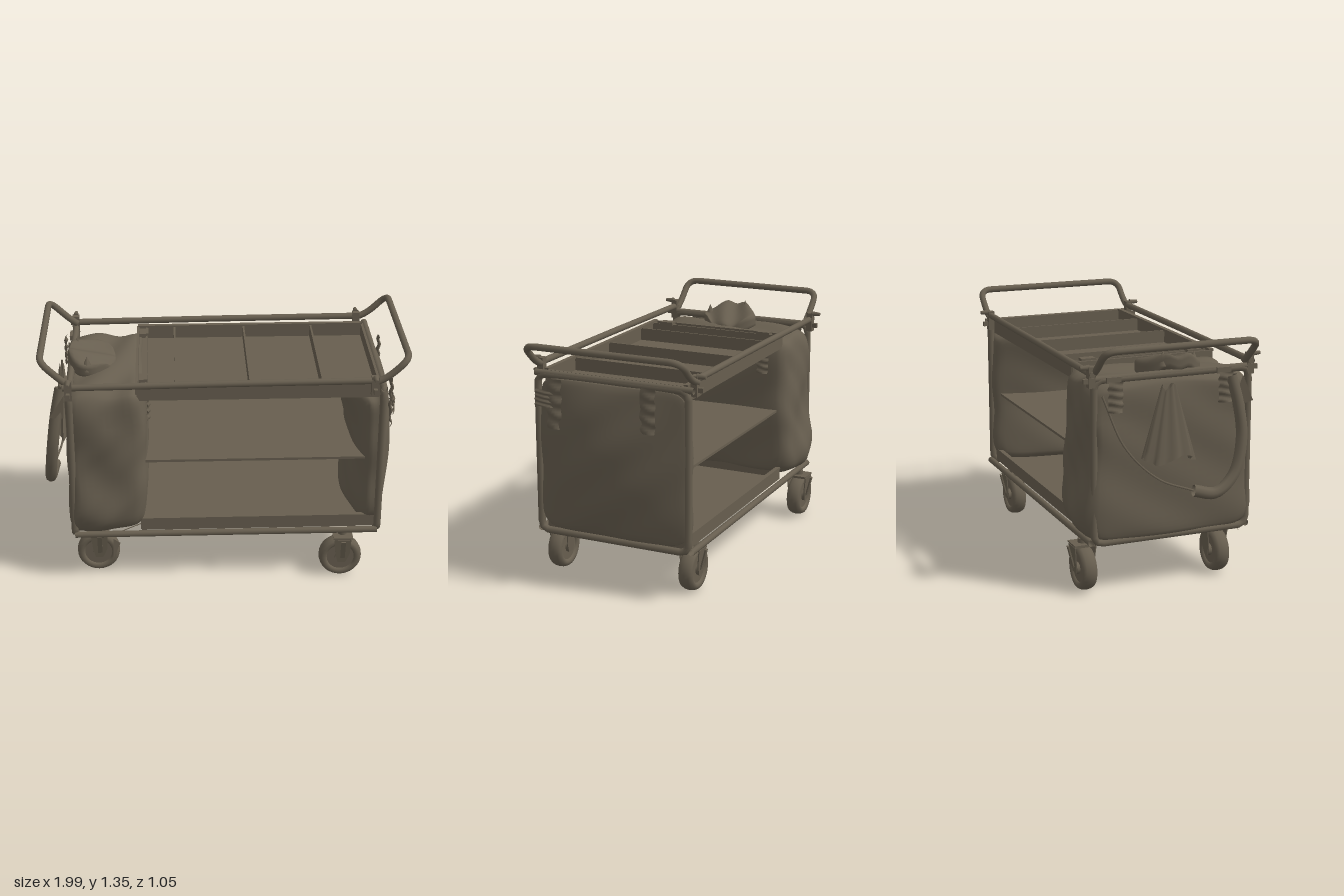
import * as THREE from 'three';
import { mergeVertices } from 'three/addons/utils/BufferGeometryUtils.js';

const olive = new THREE.MeshStandardMaterial({ color: 0x675e4f, side: THREE.DoubleSide });
olive.name = 'olive grey';

const V = (x, y, z) => new THREE.Vector3(x, y, z);

export function createModel() {
  const cart = new THREE.Group();
  cart.name = 'serviceCart';

  const add = (name, geo, x = 0, y = 0, z = 0, parent = cart) => {
    const m = new THREE.Mesh(geo, olive);
    m.name = name;
    m.position.set(x, y, z);
    parent.add(m);
    return m;
  };
  const box = (name, w, h, d, x, y, z, parent) => add(name, new THREE.BoxGeometry(w, h, d), x, y, z, parent);

  // Bent pipe: straight runs joined by small rounded corners
  const pipe = (name, pts, r = 0.018, closed = false, bend = 0.05) => {
    const path = new THREE.CurvePath();
    const n = pts.length;
    const corner = i => {
      const p = pts[i], a = pts[(i + n - 1) % n], b = pts[(i + 1) % n];
      const toward = q => p.clone().add(q.clone().sub(p).setLength(Math.min(bend, p.distanceTo(q) * 0.45)));
      return { p, a: toward(a), b: toward(b) };
    };
    let from = closed ? corner(0).b : pts[0];
    for (let i = 1; i < (closed ? n + 1 : n - 1); i++) {
      const c = corner(i % n);
      path.add(new THREE.LineCurve3(from, c.a));
      path.add(new THREE.QuadraticBezierCurve3(c.a, c.p, c.b));
      from = c.b;
    }
    if (!closed) path.add(new THREE.LineCurve3(from, pts[n - 1]));
    return add(name, new THREE.TubeGeometry(path, n * 26, r, 10, closed));
  };

  // Smooth lump made from a box; the rule maps unit coordinates (-1..1) to a position
  const softBox = (name, rule, seg = [12, 26, 20]) => {
    let g = new THREE.BoxGeometry(2, 2, 2, ...seg);
    g.deleteAttribute('uv');
    g.deleteAttribute('normal');
    g = mergeVertices(g);
    const p = g.attributes.position;
    for (let i = 0; i < p.count; i++) {
      const v = V(p.getX(i), p.getY(i), p.getZ(i));
      const k = (Math.abs(v.x) ** 10 + Math.abs(v.y) ** 10 + Math.abs(v.z) ** 10) ** 0.1;
      const m = Math.max(Math.abs(v.x), Math.abs(v.y), Math.abs(v.z));
      v.multiplyScalar(m / k);
      p.setXYZ(i, ...rule(v.x, v.y, v.z));
    }
    g.computeVertexNormals();
    return add(name, g);
  };

  // End frames: rounded rectangles of pipe
  for (const x of [-0.83, 0.85]) {
    pipe('endFrame', [V(x, 0.285, -0.43), V(x, 0.285, 0.445), V(x, 1.155, 0.445), V(x, 1.155, -0.43)], 0.02, true);
  }
  // Long rails, lower and upper, with a clamp and knob at each end
  for (const z of [-0.445, 0.45]) {
    pipe('lowerRail', [V(-0.83, 0.29, z), V(0, 0.29, z), V(0.85, 0.29, z)]);
    pipe('upperRail', [V(-0.86, 1.19, z), V(0, 1.2, z), V(0.82, 1.205, z)]);
    for (const x of [-0.83, 0.8]) {
      const s = Math.sign(z);
      box('railClamp', 0.04, 0.11, 0.035, x, 1.175, z);
      const knob = add('clampKnob', new THREE.CylinderGeometry(0.01, 0.016, 0.05, 10), x, 1.225, z + s * 0.035);
      knob.rotation.x = s * Math.PI / 2;
      box('clampTab', 0.02, 0.025, 0.04, x, 1.155, z + s * 0.025);
    }
  }
  pipe('endRail', [V(0.85, 1.16, -0.46), V(0.85, 1.16, 0), V(0.85, 1.16, 0.46)]);
  pipe('endRail', [V(-0.83, 1.16, -0.44), V(-0.83, 1.16, 0), V(-0.83, 1.16, 0.44)]);

  // Push handles
  const handle = (s, x0, z) => pipe('pushHandle', [
    V(s * x0, 1.19, -z), V(s * 0.87, 1.225, -z), V(s * 0.978, 1.33, -z),
    V(s * 0.978, 1.33, z), V(s * 0.87, 1.225, z), V(s * x0, 1.19, z)], 0.0185, false, 0.07);
  handle(1, 0.79, 0.45);
  handle(-1, 0.82, 0.425);

  // Trays: floor and rim walls
  const tray = (name, x0, x1, y0, y1, zh) => {
    const g = new THREE.Group();
    g.name = name;
    cart.add(g);
    const w = x1 - x0, cx = (x0 + x1) / 2, h = y1 - y0, cy = (y0 + y1) / 2;
    box('trayFloor', w, 0.012, zh * 2, cx, y0 + 0.006, 0, g);
    for (const s of [-1, 1]) {
      box('trayLongWall', w, h, 0.014, cx, cy, s * zh, g);
      box('trayLip', w, 0.014, 0.026, cx, y1, s * zh, g);
      box('trayEndWall', 0.014, h, zh * 2, cx + s * w / 2, cy, 0, g);
    }
    return g;
  };
  const top = tray('topTray', -0.47, 0.83, 1.09, 1.175, 0.405);
  for (const x of [-0.42, -0.26, 0.14, 0.53]) box('divider', 0.01, 0.075, 0.8, x, 1.135, 0, top);
  tray('bottomTray', -0.46, 0.84, 0.29, 0.36, 0.405);
  box('middleShelf', 1.27, 0.014, 0.8, 0.2, 0.717, 0);

  // Large boxy sack filling the right-hand end, sagging low down
  softBox('largeSack', (x, y, z) => {
    const low = Math.exp(-(((y + 0.68) / 0.4) ** 2));
    const belly = Math.max(0, 1 - y * y);
    const crease = 0.009 * Math.sin(5 * y + 3 * x) + 0.005 * Math.sin(11 * y - 7 * x + 4 * z);
    const round = 1 - 0.5 * x * x;
    const side = x < 0 ? 0.215 : 0.205 + 0.02 * belly;
    const sag = Math.max(0, -y) * 0.025 * x;
    return [
      -0.645 + side * x + 0.005 * Math.sin(8 * y + 5 * z),
      0.718 + 0.428 * y + sag + (y > 0.5 ? 0.012 * Math.sin(5 * x + 4 * z) : 0),
      z * (0.445 + (0.045 * low + 0.012 * belly) * round + crease * round),
    ];
  });

  // Flatter sack in the left-hand end: it bows into the cart below the tray and out past the frame
  softBox('bowedSack', (x, y, z) => {
    const bow = Math.max(0, 1 - z * z);
    const waist = 0.13 + 0.075 * Math.max(0, y + 0.1) ** 1.4 + 0.045 * Math.max(0, -y - 0.1);
    const inner = THREE.MathUtils.lerp(0.07, waist, bow);
    const outer = 0.02 + bow * 0.075 * (1 - 0.75 * y * y) * (1 + 0.3 * z);
    const topY = 1.085 + 0.06 * THREE.MathUtils.smoothstep(x, -0.3, 0.6);
    return [
      0.845 + x * (x < 0 ? inner : outer) + 0.004 * Math.sin(9 * y + 6 * z) * bow,
      THREE.MathUtils.lerp(0.31, topY, (y + 1) / 2),
      z * (0.43 + 0.006 * Math.sin(7 * y)),
    ];
  });

  // Crumpled bundle lying on the large sack, highest at the outer edge
  softBox('bundle', (x, y, z) => [
    -0.715 + 0.13 * x * (1 - 0.3 * z * z) - 0.02 * z,
    1.17 + 0.04 * y - 0.05 * x * (1 - 0.6 * z * z) + 0.012 * Math.sin(6 * z + 2 * x),
    0.03 + 0.17 * z * (1 - 0.3 * x * x),
  ], [8, 6, 12]);
  const peaks = [[-0.8, 1.235, -0.035, 0.03], [-0.74, 1.205, 0.17, 0.035]];
  for (const [x, y, z, r] of peaks) add('bundleFold', new THREE.ConeGeometry(r, 0.08, 7), x, y, z);

  // Rumpled strip of cloth hanging against an end face
  const strap = (name, w, h, x, y, z, turn) => {
    const g = new THREE.PlaneGeometry(w, h, 6, 20);
    const p = g.attributes.position;
    for (let i = 0; i < p.count; i++) {
      const u = p.getX(i) / w, v = p.getY(i) / h;
      p.setZ(i, 0.005 * Math.sin(v * 24 + u * 3) + 0.012 * Math.cos(u * Math.PI));
      p.setX(i, p.getX(i) + 0.003 * Math.sin(v * 17));
    }
    g.computeVertexNormals();
    const m = add(name, g, x, y, z);
    m.rotation.y = turn;
    return m;
  };
  strap('endStrap', 0.085, 0.24, 0.905, 1.04, -0.225, Math.PI / 2);
  strap('endStrap', 0.085, 0.27, 0.905, 1.015, 0.32, Math.PI / 2);
  strap('strapKnot', 0.13, 0.09, 0.905, 1.04, 0.37, Math.PI / 2);
  for (const z of [-0.31, 0.31]) {
    strap('innerStrap', 0.07, 0.14, -0.415, 1.01, z, Math.PI / 2);
    box('strapBuckle', 0.05, 0.02, 0.08, -0.435, 1.175, z);
    strap('outerStrap', 0.08, 0.16, -0.88, 1.07, z - 0.02, -Math.PI / 2);
    box('strapBuckle', 0.04, 0.03, 0.08, -0.84, 1.155, z - 0.02);
  }

  // Pleated cloth pinched at the top, hung on the right-hand end
  const cloth = new THREE.CylinderGeometry(0.04, 0.14, 0.38, 40, 8, true);
  const cp = cloth.attributes.position;
  for (let i = 0; i < cp.count; i++) {
    const a = Math.atan2(cp.getZ(i), cp.getX(i));
    const k = 1 + 0.12 * Math.sin(9 * a);
    cp.setXYZ(i, cp.getX(i) * k * 0.32, cp.getY(i) + 0.02 * Math.sin(3 * a), cp.getZ(i) * k);
  }
  cloth.computeVertexNormals();
  add('hangingCloth', cloth, -0.895, 0.91, -0.04);

  // Long drooping sash with a thin cord running back
  const sash = new THREE.CatmullRomCurve3([
    V(-0.88, 1.13, 0.32), V(-0.91, 0.98, 0.35), V(-0.935, 0.8, 0.36),
    V(-0.955, 0.62, 0.31), V(-0.965, 0.53, 0.2), V(-0.95, 0.55, 0.08)]);
  add('drapedSash', new THREE.TubeGeometry(sash, 40, 0.032, 8));
  const cord = new THREE.CatmullRomCurve3([
    V(-0.95, 0.55, 0.08), V(-0.91, 0.62, -0.1), V(-0.89, 0.8, -0.28), V(-0.87, 1.08, -0.4)]);
  add('sashCord', new THREE.TubeGeometry(cord, 24, 0.006, 6));

  // Loose three-cornered scraps
  const flap = (name, a, b, c) => {
    const g = new THREE.BufferGeometry().setFromPoints([a, b, c]);
    g.computeVertexNormals();
    add(name, g);
  };
  flap('sackFlap', V(-0.86, 1.12, 0.4), V(-0.94, 1.0, 0.42), V(-0.87, 0.95, 0.33));
  flap('stringEnd', V(-0.62, 0.25, 0.44), V(-0.58, 0.25, 0.48), V(-0.62, 0.17, 0.52));

  // Loose string under the floor
  const string = new THREE.LineCurve3(V(-0.6, 0.255, 0.38), V(0.4, 0.278, -0.33));
  add('looseString', new THREE.TubeGeometry(string, 2, 0.003, 5));

  // Swivel casters: rounded tyre, recessed disc and hub, forked bracket
  const half = [[0.075, 0.026], [0.08, 0.036], [0.092, 0.042], [0.108, 0.038], [0.117, 0.022], [0.12, 0]];
  const profile = [...half, ...half.slice(0, -1).reverse().map(([r, h]) => [r, -h])]
    .map(([r, h]) => new THREE.Vector2(r, h)).reverse();
  const tyreGeo = new THREE.LatheGeometry(profile, 32).rotateX(Math.PI / 2);
  const discGeo = new THREE.CylinderGeometry(0.078, 0.078, 0.056, 32).rotateX(Math.PI / 2);
  const hubGeo = new THREE.CylinderGeometry(0.032, 0.032, 0.09, 16).rotateX(Math.PI / 2);
  const forkShape = new THREE.Shape([
    [-0.045, 0.125], [0.05, 0.125], [0.045, 0.03], [0.022, -0.025], [-0.022, -0.025], [-0.035, 0.03],
  ].map(([x, y]) => new THREE.Vector2(x, y)));
  const forkGeo = new THREE.ExtrudeGeometry(forkShape, { depth: 0.006, bevelEnabled: false });
  for (const [x, z, s] of [[-0.71, 0.325, 1], [0.65, 0.43, 1], [-0.71, -0.445, -1], [0.65, -0.365, -1]]) {
    const c = new THREE.Group();
    c.name = 'caster';
    c.position.set(x, 0.12, z);
    cart.add(c);
    add('tyre', tyreGeo, 0, 0, 0, c);
    add('wheelDisc', discGeo, 0, 0, 0, c);
    add('hub', hubGeo, 0, 0, 0, c);
    for (const k of [-1, 1]) {
      const leg = add('forkLeg', forkGeo, 0.005, 0, k * 0.047 - 0.003, c);
      leg.rotation.x = k * 0.09;
    }
    box('forkBridge', 0.09, 0.008, 0.118, 0.008, 0.124, 0, c);
    box('mountPlate', 0.11, 0.008, 0.125, 0.01, 0.133, 0, c);
    add('swivelStem', new THREE.CylinderGeometry(0.025, 0.025, 0.03, 12), 0.01, 0.145, 0, c);
    const arm = box('brakeArm', 0.025, 0.12, 0.008, 0.01, 0.065, s * 0.066, c);
    arm.rotation.x = s * 0.25;
  }

  return cart;
}
